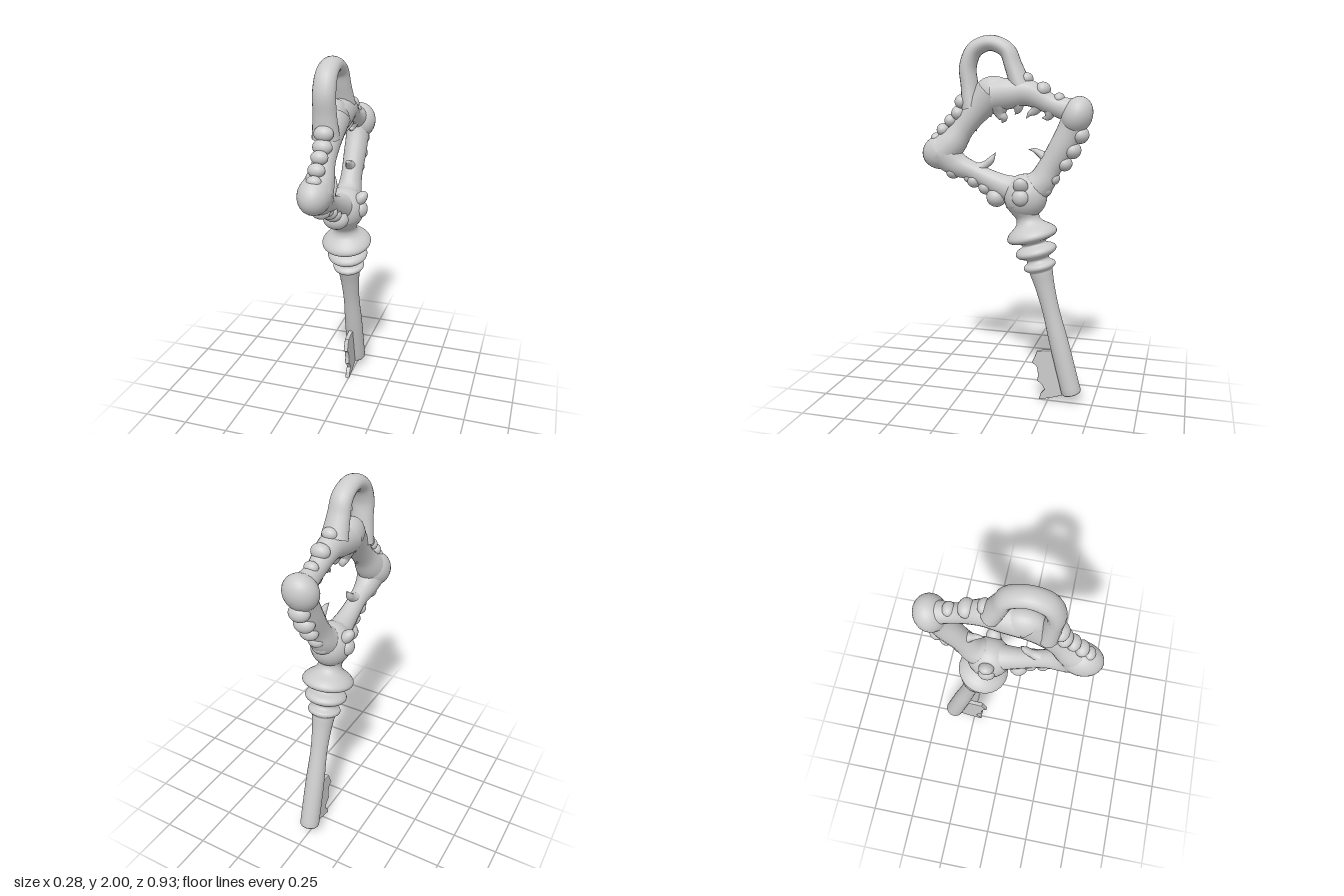
import * as THREE from 'three';

const material = new THREE.MeshStandardMaterial({ color: 0xcccccc });

function add(parent, name, geometry) {
  const mesh = new THREE.Mesh(geometry, material);
  mesh.name = name;
  parent.add(mesh);
  return mesh;
}

// Sweep with changing thickness in the z-y plane. Each point is [z, y, radius];
// depth scales the radius along x, and offset shifts the whole sweep along x.
function sweep(points, depth = 1, steps = 28, sides = 18, offset = 0) {
  const curve = new THREE.CatmullRomCurve3(points.map(([z, y, r]) => new THREE.Vector3(r, y, z)));
  const pos = [], index = [];
  for (let i = 0; i <= steps; i++) {
    const p = curve.getPoint(i / steps), t = curve.getTangent(i / steps);
    const len = Math.hypot(t.y, t.z) || 1, r = Math.max(p.x, 0.001);
    for (let j = 0; j < sides; j++) {
      const a = (j / sides) * Math.PI * 2, n = Math.cos(a) * r;
      pos.push(offset + Math.sin(a) * r * depth, p.y - (n * t.z) / len, p.z + (n * t.y) / len);
      if (i < steps) {
        const k = (j + 1) % sides, b = i * sides, c = b + sides;
        index.push(b + j, b + k, c + j, b + k, c + k, c + j);
      }
    }
  }
  const g = new THREE.BufferGeometry();
  g.setAttribute('position', new THREE.Float32BufferAttribute(pos, 3));
  g.setIndex(index);
  g.computeVertexNormals();
  return g;
}

function blob(parent, name, x, y, z, rx, ry, rz, tilt = 0) {
  const m = add(parent, name, new THREE.SphereGeometry(1, 24, 16));
  m.position.set(x, y, z);
  m.scale.set(rx, ry, rz);
  m.rotation.x = tilt;
  return m;
}

export function createModel() {
  const key = new THREE.Group();
  key.name = 'key';

  // Turned stem: hollow tip, shaft, three collars and neck, leaning towards the front
  const tip = [[0, 0.06], [0.03, 0.05], [0.036, 0.005], [0.05, 0]];
  const outline = [
    [0.055, 0.008], [0.053, 0.28], [0.047, 0.48], [0.053, 0.62], [0.062, 0.7], [0.066, 0.72],
    [0.086, 0.737], [0.086, 0.755], [0.066, 0.77], [0.064, 0.79], [0.102, 0.81], [0.113, 0.83],
    [0.1, 0.85], [0.068, 0.866], [0.075, 0.882], [0.125, 0.9], [0.138, 0.922], [0.12, 0.95],
    [0.075, 0.985], [0.063, 1.02], [0.08, 1.06], [0.1, 1.1],
  ];
  const smooth = new THREE.SplineCurve(outline.map(([r, s]) => new THREE.Vector2(r, s))).getPoints(110);
  const profile = [...tip.map(([r, s]) => new THREE.Vector2(r, s)), ...smooth];
  const stem = add(key, 'stem', new THREE.LatheGeometry(profile, 32));
  stem.position.set(0, 0.06, -0.385);
  stem.rotation.x = 0.255;

  // Flat notched bit
  const notches = [
    [-0.33, 0.3], [-0.26, 0.295], [-0.19, 0.283], [-0.18, 0.255], [-0.165, 0.22], [-0.19, 0.2],
    [-0.2, 0.15], [-0.195, 0.115], [-0.222, 0.095], [-0.238, 0.062], [-0.215, 0.035],
    [-0.205, 0.005], [-0.29, 0.03], [-0.37, 0.06],
  ];
  const bitShape = new THREE.Shape(notches.map(([z, y]) => new THREE.Vector2(z, y)));
  const bit = add(key, 'bit', new THREE.ExtrudeGeometry(bitShape, {
    depth: 0.016, bevelEnabled: true, bevelSize: 0.005, bevelThickness: 0.005, bevelSegments: 2,
  }));
  bit.rotation.y = -Math.PI / 2;
  bit.position.x = 0.002;

  // Ball joining stem and bow, with side knobs and small horns
  blob(key, 'ball', 0, 1.16, -0.115, 0.108, 0.12, 0.118);
  for (const s of [-1, 1]) {
    blob(key, 'sideKnob', s * 0.095, 1.165, -0.11, 0.035, 0.045, 0.045);
    const horn = blob(key, 'horn', s * 0.09, 1.225, -0.11, 0.032, 0.05, 0.04);
    horn.rotation.z = -s * 0.7;
  }

  // Diamond bow: four branches
  const bow = new THREE.Group();
  bow.name = 'bow';
  key.add(bow);
  const branches = {
    upperFrontBranch: [[0.07, 1.7, 0.09], [0.16, 1.6, 0.068], [0.235, 1.51, 0.062], [0.29, 1.44, 0.078], [0.35, 1.385, 0.09]],
    upperBackBranch: [[0.06, 1.69, 0.085], [-0.03, 1.7, 0.08], [-0.12, 1.705, 0.07], [-0.25, 1.645, 0.052], [-0.33, 1.62, 0.06], [-0.4, 1.6, 0.075]],
    lowerBackBranch: [[-0.39, 1.6, 0.08], [-0.355, 1.52, 0.07], [-0.31, 1.43, 0.068], [-0.24, 1.31, 0.064], [-0.2, 1.24, 0.075], [-0.13, 1.18, 0.09]],
    lowerFrontBranch: [[0.35, 1.385, 0.09], [0.27, 1.32, 0.068], [0.18, 1.285, 0.052], [0.06, 1.23, 0.058], [-0.02, 1.2, 0.07], [-0.1, 1.18, 0.09]],
  };
  for (const [name, points] of Object.entries(branches)) add(bow, name, sweep(points, 0.92));

  // Swollen corners
  blob(bow, 'frontCorner', -0.005, 1.385, 0.355, 0.085, 0.094, 0.112, 0.25);
  blob(bow, 'backCorner', 0, 1.59, -0.385, 0.092, 0.1, 0.08, -0.35);
  blob(bow, 'topCorner', -0.005, 1.7, 0.06, 0.07, 0.09, 0.11);

  // Hanging loop
  add(bow, 'hangingLoop', sweep([
    [0.18, 1.62, 0.055], [0.195, 1.74, 0.046], [0.203, 1.84, 0.045], [0.165, 1.925, 0.043],
    [0.08, 1.958, 0.041], [-0.01, 1.92, 0.043], [-0.045, 1.84, 0.046], [-0.085, 1.74, 0.055],
  ], 1.3, 40, 18, -0.007));

  // Bark-like knobs along the outer edges: [z, y, radius]
  const knobs = [
    [0.235, 1.655, 0.04], [0.255, 1.595, 0.04], [0.30, 1.555, 0.035], [0.345, 1.505, 0.035], [0.385, 1.46, 0.03],
    [-0.12, 1.775, 0.032], [-0.205, 1.72, 0.04], [-0.29, 1.675, 0.03],
    [-0.405, 1.49, 0.045], [-0.365, 1.41, 0.045], [-0.325, 1.34, 0.04], [-0.265, 1.26, 0.035], [-0.22, 1.2, 0.04],
    [0.29, 1.28, 0.04], [0.17, 1.235, 0.04], [0.105, 1.2, 0.04], [0.045, 1.15, 0.055], [0.2, 1.25, 0.03],
  ];
  for (const [z, y, r] of knobs) blob(bow, 'knob', 0, y, z, r * 1.25, r, r, z * 2);

  // Thorns pointing into the opening
  const thorns = [
    [[0.03, 1.63, 0.055], [0.02, 1.59, 0.03], [0.005, 1.57, 0.022], [0.015, 1.545, 0]],
    [[0.1, 1.64, 0.04], [0.085, 1.6, 0.025], [0.075, 1.575, 0]],
    [[-0.19, 1.67, 0.04], [-0.165, 1.615, 0.025], [-0.135, 1.595, 0.013], [-0.115, 1.57, 0]],
    [[-0.07, 1.65, 0.04], [-0.07, 1.615, 0.022], [-0.055, 1.59, 0]],
    [[-0.26, 1.35, 0.05], [-0.2, 1.385, 0.022], [-0.165, 1.405, 0.013], [-0.13, 1.41, 0]],
    [[0.17, 1.29, 0.04], [0.11, 1.32, 0.022], [0.075, 1.35, 0.018], [0.05, 1.39, 0]],
    [[0.2, 1.57, 0.04], [0.175, 1.53, 0.028], [0.155, 1.5, 0]],
    [[-0.25, 1.62, 0.04], [-0.23, 1.58, 0.02], [-0.2, 1.575, 0]],
  ];
  for (const points of thorns) add(bow, 'thorn', sweep(points, 1, 12, 10));

  return key;
}
